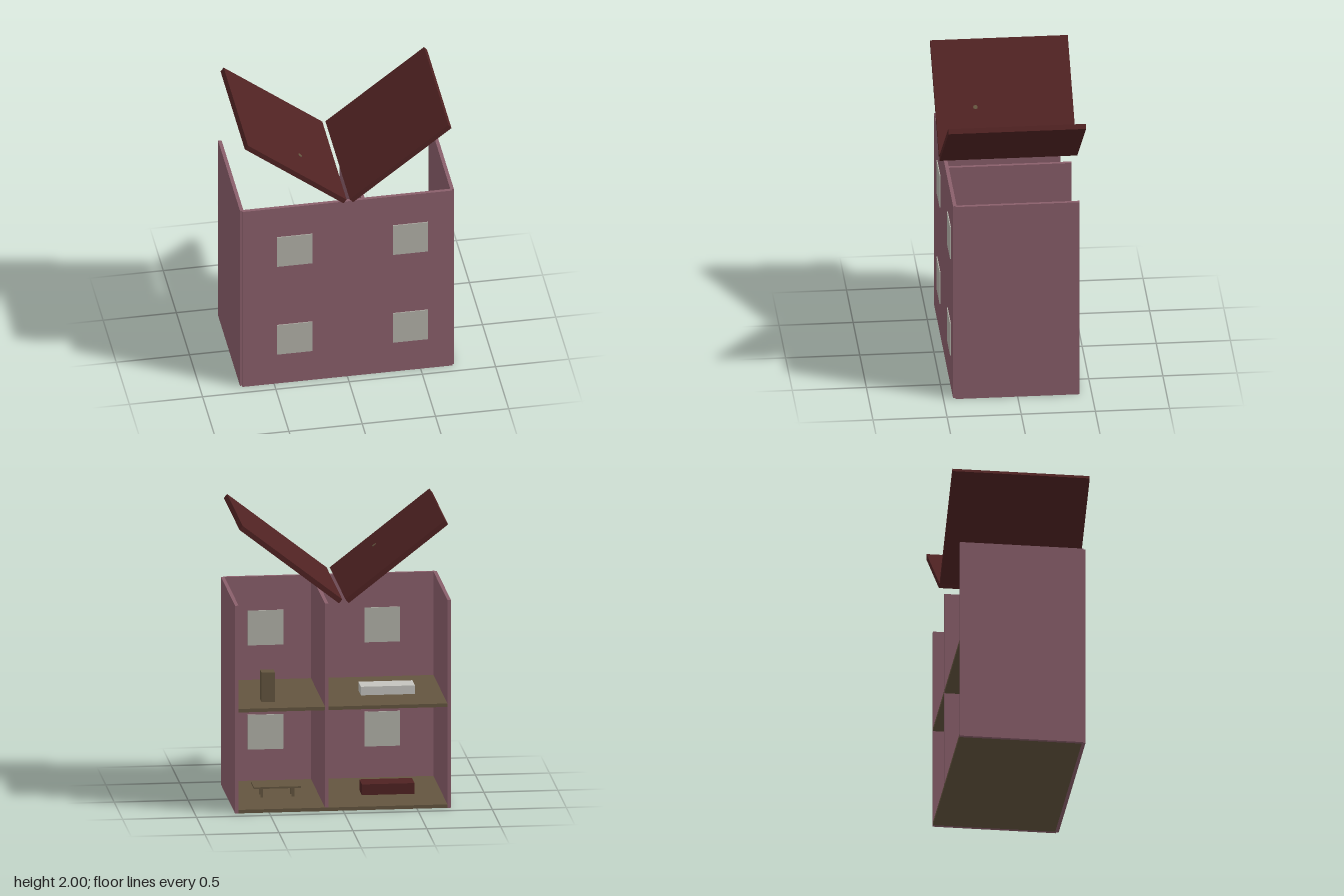
import * as THREE from 'three';

export function createModel() {
  const house = new THREE.Group();
  house.name = 'dollhouse';

  const mat = (name, color) => {
    const m = new THREE.MeshStandardMaterial({ color });
    m.name = name;
    return m;
  };
  const pink = mat('dusty pink wall', 0x8a5f6b);
  const maroon = mat('maroon', 0x4f2222);
  const wood = mat('olive wood', 0x64553f);
  const glass = mat('pale window', 0xb3b2a9);
  const linen = mat('white linen', 0xc4c3be);

  // box given by its min and max corners
  const box = (name, m, [x0, y0, z0], [x1, y1, z1], parent = house) => {
    const mesh = new THREE.Mesh(new THREE.BoxGeometry(x1 - x0, y1 - y0, z1 - z0), m);
    mesh.position.set((x0 + x1) / 2, (y0 + y1) / 2, (z0 + z1) / 2);
    mesh.name = name;
    parent.add(mesh);
    return mesh;
  };
  const group = (name) => {
    const g = new THREE.Group();
    g.name = name;
    house.add(g);
    return g;
  };

  const top = 1.435, back = -0.418, front = 0.41;

  // shell, open at the back and the top
  box('leftWall', pink, [0.706, 0, back], [0.73, top, 0.418]);
  box('rightWall', pink, [-0.73, 0, back], [-0.706, top, 0.418]);
  box('frontWall', pink, [-0.716, 0, front], [0.716, top, 0.434]);
  box('partition', pink, [0.098, 0.024, back - 0.001], [0.122, top - 0.002, front]);

  // floors
  box('groundFloor', wood, [-0.706, 0, back], [0.706, 0.024, front]);
  box('upperFloor', wood, [-0.706, 0.697, back], [0.706, 0.721, front]);

  // windows, seen from both sides of the front wall
  for (const x of [-0.48, 0.31]) {
    for (const y of [0.24, 0.96]) {
      box('windowOutside', glass, [x, y, 0.432], [x + 0.24, y + 0.24, 0.44]);
      box('windowInside', glass, [x, y, 0.404], [x + 0.24, y + 0.24, 0.412]);
    }
  }

  // two roof panels swung up into a V
  for (const side of [1, -1]) {
    const roof = group(side > 0 ? 'leftRoof' : 'rightRoof');
    roof.position.set(side * 0.358, 1.72, 0);
    roof.rotation.z = side * 0.663;
    box('roofPanel', maroon, [-0.427, -0.0175, -0.464], [0.427, 0.0175, 0.464], roof);
    if (side < 0) {
      // small peg end on the panel
      const peg = new THREE.Mesh(new THREE.CylinderGeometry(0.016, 0.016, 0.004, 8), wood);
      peg.position.set(0.085, 0.018, 0.195);
      peg.name = 'peg';
      roof.add(peg);
    }
  }

  // furniture
  box('wardrobe', wood, [0.44, 0.721, -0.24], [0.53, 0.925, -0.15]);
  box('bed', linen, [-0.52, 0.721, -0.12], [-0.155, 0.78, 0.03]);
  box('sofa', maroon, [-0.52, 0.024, -0.09], [-0.165, 0.098, 0.06]);

  const table = group('table');
  box('tableTop', wood, [0.25, 0.092, -0.117], [0.568, 0.104, 0.058], table);
  for (const x of [0.3, 0.51]) {
    for (const z of [-0.07, 0.01]) {
      box('tableLeg', wood, [x - 0.009, 0.024, z - 0.009], [x + 0.009, 0.092, z + 0.009], table);
    }
  }

  return house;
}
